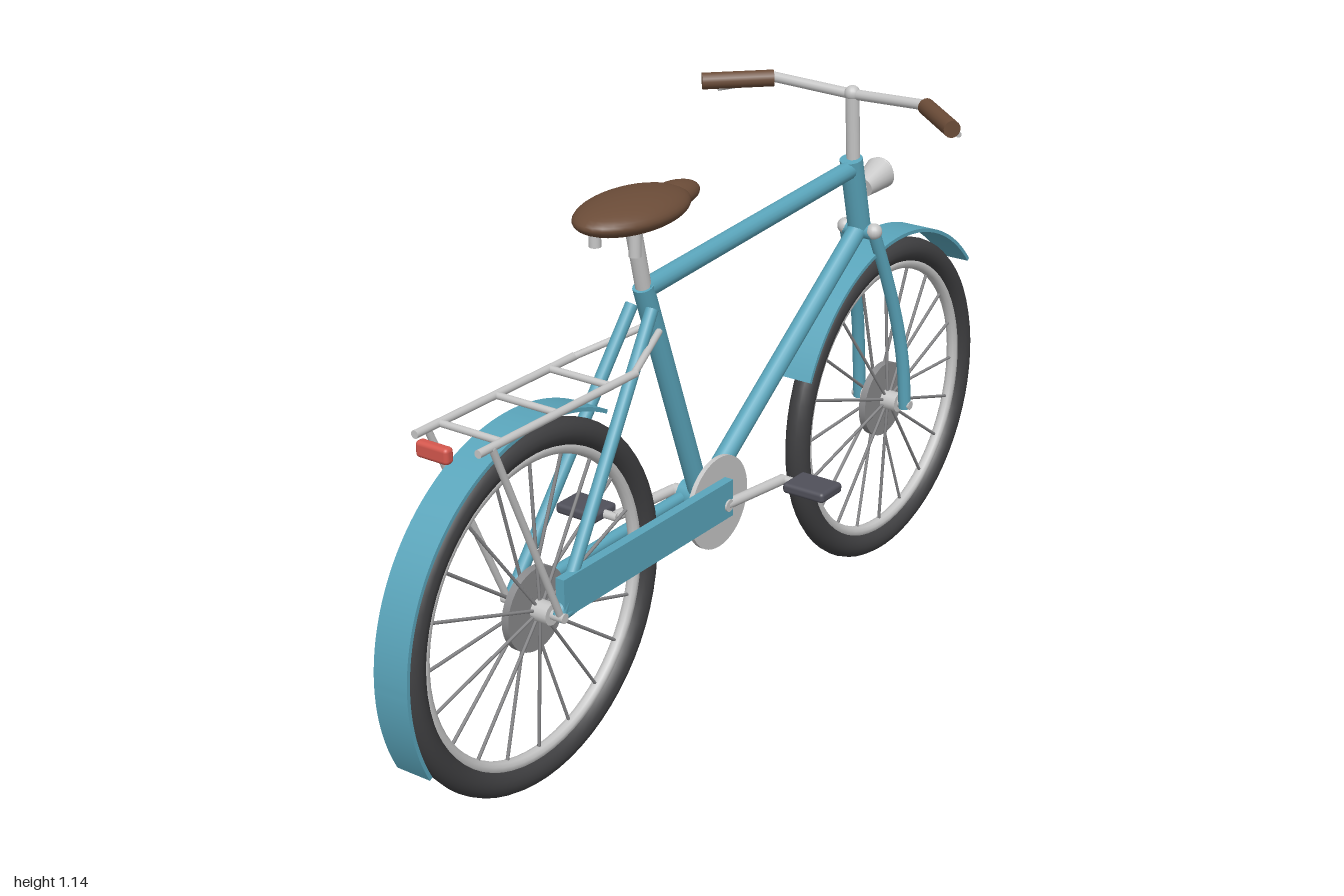
import * as THREE from 'three';
import { toCreasedNormals } from 'three/addons/utils/BufferGeometryUtils.js';
import { RoundedBoxGeometry } from 'three/addons/geometries/RoundedBoxGeometry.js';

const material = (name, color) => {
  const m = new THREE.MeshStandardMaterial({ color });
  m.name = name;
  return m;
};

export function createModel() {
  const paint = material('blue paint', 0x5aa5bb);
  const steel = material('light steel', 0xc6c6c6);
  const grey = material('hub grey', 0x8a8a8c);
  const rubber = material('tyre rubber', 0x3f3f41);
  const leather = material('brown leather', 0x6b4c38);
  const pedalGrey = material('pedal grey', 0x50505a);
  const red = material('red lamp', 0xd4574d);

  const bike = new THREE.Group();
  bike.name = 'bicycle';
  const V = (x, y, z) => new THREE.Vector3(x, y, z);
  const UP = V(0, 1, 0);

  const add = (name, geo, mat, x = 0, y = 0, z = 0, parent = bike) => {
    const mesh = new THREE.Mesh(geo, mat);
    mesh.name = name;
    mesh.position.set(x, y, z);
    parent.add(mesh);
    return mesh;
  };
  // Straight rod between two points, optionally tapered
  const rod = (name, a, b, r, mat, r2 = r, parent = bike, sides = 16) => {
    const A = V(...a), B = V(...b), d = B.clone().sub(A);
    const mesh = add(name, new THREE.CylinderGeometry(r2, r, d.length(), sides), mat, 0, 0, 0, parent);
    mesh.position.copy(A).add(B).multiplyScalar(0.5);
    mesh.quaternion.setFromUnitVectors(UP, d.normalize());
    return mesh;
  };
  const bentTube = (name, pts, r, mat) =>
    add(name, new THREE.TubeGeometry(new THREE.CatmullRomCurve3(pts.map(p => V(...p))), 24, r, 12), mat);

  const AXLE_Y = 0.373, REAR_Z = 0.608, FRONT_Z = -0.627;
  const BB = [0, 0.398, 0.075];

  // Wheels
  const wheel = (name, z) => {
    const g = new THREE.Group();
    g.name = name;
    g.position.set(0, AXLE_Y, z);
    bike.add(g);
    add('tyre', new THREE.TorusGeometry(0.343, 0.027, 16, 64).rotateY(Math.PI / 2), rubber, 0, 0, 0, g);
    add('rim', new THREE.TorusGeometry(0.312, 0.013, 10, 64).rotateY(Math.PI / 2), steel, 0, 0, 0, g);
    rod('hub', [-0.045, 0, 0], [0.045, 0, 0], 0.022, steel, 0.022, g);
    rod('axle', [-0.075, 0, 0], [0.075, 0, 0], 0.01, steel, 0.01, g);
    rod('hubDisc', [-0.008, 0, 0], [0.008, 0, 0], 0.085, grey, 0.085, g, 40);
    for (let i = 0; i < 20; i++) {
      const a = i * Math.PI / 10, c = Math.cos(a), s = Math.sin(a);
      const side = i % 2 ? 0.014 : -0.014;
      rod('spoke', [side, 0.02 * s, 0.02 * c], [0, 0.31 * s, 0.31 * c], 0.0035, grey, 0.0035, g, 6);
    }
  };
  wheel('rearWheel', REAR_Z);
  wheel('frontWheel', FRONT_Z);

  // Mudguards: ring sectors, angles measured from +z upward
  const mudguard = (name, z, from, to) => {
    const a = THREE.MathUtils.degToRad(from), b = THREE.MathUtils.degToRad(to);
    const s = new THREE.Shape();
    s.absarc(0, 0, 0.396, a, b, false);
    s.absarc(0, 0, 0.388, b, a, true);
    const geo = new THREE.ExtrudeGeometry(s, { depth: 0.078, bevelEnabled: false, curveSegments: 40 });
    geo.translate(0, 0, -0.039).rotateY(-Math.PI / 2);
    add(name, toCreasedNormals(geo, 0.5), paint, 0, AXLE_Y, z);
  };
  mudguard('rearMudguard', REAR_Z, -28, 118);
  mudguard('frontMudguard', FRONT_Z, 25, 140);

  // Main frame
  rod('seatTube', BB, [0, 0.91, 0.258], 0.021, paint);
  rod('topTube', [0, 0.903, 0.256], [0, 0.953, -0.48], 0.02, paint);
  rod('downTube', [0, 0.405, 0.06], [0, 0.812, -0.51], 0.021, paint);
  rod('headTube', [0, 0.975, -0.474], [0, 0.8, -0.516], 0.025, paint);
  rod('bottomBracket', [-0.04, BB[1], BB[2]], [0.04, BB[1], BB[2]], 0.03, paint);
  rod('forkCrown', [-0.036, 0.806, -0.515], [0.036, 0.806, -0.515], 0.017, paint);
  for (const s of [-1, 1]) {
    rod('seatStay', [s * 0.024, 0.87, 0.262], [s * 0.06, AXLE_Y, REAR_Z], 0.013, paint);
    rod('chainStay', [s * 0.03, BB[1], BB[2]], [s * 0.06, AXLE_Y, REAR_Z], 0.013, paint);
    bentTube('forkLeg', [[s * 0.036, 0.806, -0.515], [s * 0.044, 0.69, -0.56],
      [s * 0.052, 0.57, -0.598], [s * 0.058, 0.47, -0.617], [s * 0.06, 0.365, FRONT_Z]], 0.014, paint);
    add('forkCap', new THREE.SphereGeometry(0.018, 16, 12), steel, s * 0.036, 0.808, -0.515);
  }

  // Drivetrain
  add('chainGuard', new THREE.BoxGeometry(0.02, 0.08, 0.545), paint, 0.061, 0.41, 0.332);
  rod('chainring', [0.038, BB[1], BB[2]], [0.048, BB[1], BB[2]], 0.099, steel, 0.099, bike, 48);
  rod('crankAxle', [-0.065, BB[1], BB[2]], [0.075, BB[1], BB[2]], 0.013, steel);
  for (const s of [-1, 1]) {
    const z = BB[2] - s * 0.172;
    rod('crankArm', [s * 0.065, BB[1], BB[2]], [s * 0.088, 0.396, z], 0.011, steel);
    rod('pedalAxle', [s * 0.08, 0.396, z], [s * 0.13, 0.396, z], 0.009, steel);
    add('pedal', new RoundedBoxGeometry(0.1, 0.023, 0.076, 3, 0.008), pedalGrey, s * 0.16, 0.396, z);
  }

  // Saddle
  rod('seatPost', [0, 0.89, 0.252], [0, 1.06, 0.292], 0.016, steel);
  add('saddle', new THREE.SphereGeometry(1, 32, 20).scale(0.087, 0.034, 0.145), leather, 0, 1.071, 0.288);
  add('saddleNose', new THREE.SphereGeometry(1, 24, 16).scale(0.038, 0.025, 0.078), leather, 0, 1.066, 0.165);
  for (const s of [-1, 1])
    rod('saddleSpring', [s * 0.047, 1.004, 0.342], [s * 0.047, 1.06, 0.342], 0.012, steel);

  // Handlebar
  rod('stem', [0, 0.95, -0.484], [0, 1.12, -0.473], 0.015, steel);
  add('stemCap', new THREE.SphereGeometry(0.017, 16, 12), steel, 0, 1.118, -0.473);
  for (const s of [-1, 1]) {
    rod('handlebar', [0, 1.115, -0.476], [s * 0.195, 1.128, -0.455], 0.011, steel);
    rod('grip', [s * 0.188, 1.124, -0.458], [s * 0.306, 1.12, -0.361], 0.018, leather);
    rod('brakeLever', [s * 0.215, 1.11, -0.476], [s * 0.297, 1.096, -0.405], 0.006, steel);
  }

  // Headlight
  rod('headlightBracket', [0, 0.89, -0.495], [0, 0.9, -0.53], 0.01, steel);
  rod('headlight', [0, 0.898, -0.525], [0, 0.914, -0.592], 0.022, steel, 0.036, bike, 24);
  add('headlightLens', new THREE.SphereGeometry(1, 24, 12).scale(0.034, 0.034, 0.01), steel, 0, 0.914, -0.592);

  // Luggage rack
  for (const s of [-1, 1]) {
    rod('rackRail', [s * 0.073, 0.79, 0.83], [s * 0.073, 0.79, 0.38], 0.008, steel);
    rod('rackArm', [s * 0.073, 0.79, 0.385], [s * 0.02, 0.815, 0.235], 0.007, steel);
    rod('rackStrut', [s * 0.075, 0.79, 0.795], [s * 0.064, AXLE_Y, REAR_Z], 0.007, steel);
  }
  for (const z of [0.455, 0.61, 0.765])
    rod('rackCrossbar', [-0.073, 0.79, z], [0.073, 0.79, z], 0.007, steel);
  add('rearLight', new RoundedBoxGeometry(0.074, 0.032, 0.022, 3, 0.008), red, 0, 0.787, 0.86);

  return bike;
}
